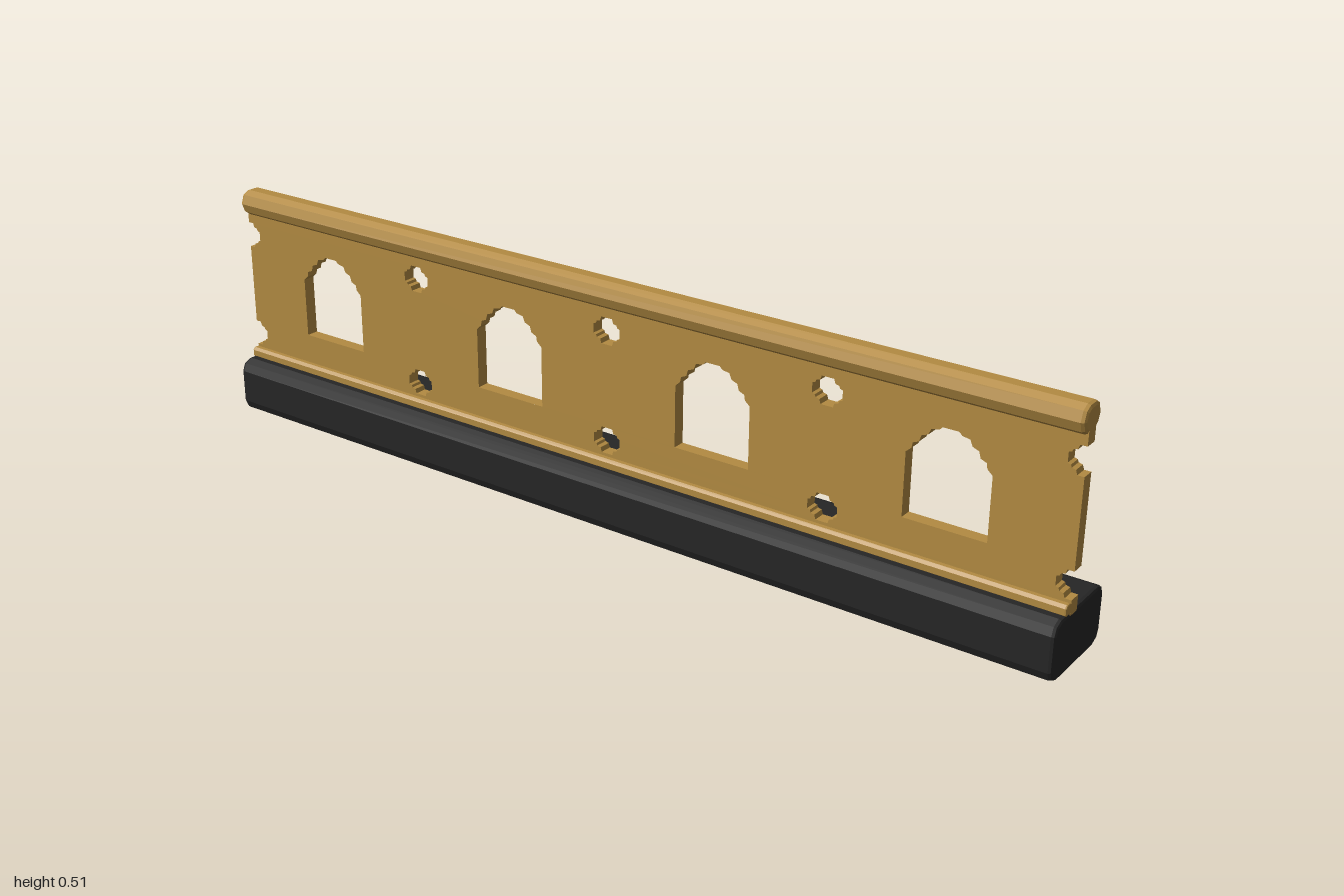
import * as THREE from 'three';

const gold = new THREE.MeshStandardMaterial({ color: 0xb38b42 });
gold.name = 'antique gold';
const black = new THREE.MeshStandardMaterial({ color: 0x262626 });
black.name = 'black';

const toShape = (pts) => new THREE.Shape(pts.map(([x, y]) => new THREE.Vector2(x, y)));

// Bar running the full length along x, from a [z, y] profile, with bevelled ends
function bar(name, profile, bevel, material) {
  const shape = toShape(profile.map(([z, y]) => [-z, y]));
  const geo = new THREE.ExtrudeGeometry(shape, {
    depth: 2 - 2 * bevel, bevelEnabled: true, bevelThickness: bevel,
    bevelSize: bevel, bevelOffset: -bevel, bevelSegments: 2,
  });
  geo.translate(0, 0, -(1 - bevel));
  geo.rotateY(Math.PI / 2);
  const mesh = new THREE.Mesh(geo, material);
  mesh.name = name;
  return mesh;
}

// Right half of a four-lobed opening, bottom to top
const lobes = [[0.013, -0.028], [0.016, -0.019], [0.024, -0.017], [0.026, -0.012], [0.032, -0.01]];
const halfLobes = [...lobes, ...lobes.map(([x, y]) => [x, -y]).reverse()];

// Right half of the stepped arch window, bottom to top
const halfArch = [
  [0.085, 0.205], [0.085, 0.335], [0.074, 0.345], [0.072, 0.356], [0.06, 0.361],
  [0.056, 0.374], [0.043, 0.379], [0.038, 0.391], [0.022, 0.394], [0.016, 0.4],
];

// Mirror a right half into a closed ring centred at (cx, cy)
const ring = (half, cx, cy) => [
  ...half.map(([x, y]) => [cx + x, cy + y]),
  ...half.map(([x, y]) => [cx - x, cy + y]).reverse(),
];

const lobeRows = [0.174, 0.408];

// Pierced panel whose ends carry half openings
function piercedPanel() {
  const edge = [[1, 0.115]];
  for (const cy of lobeRows) {
    edge.push([1, cy - 0.028]);
    for (const [x, y] of halfLobes) edge.push([1 - x, cy + y]);
    edge.push([1, cy + 0.028]);
  }
  edge.push([1, 0.475]);
  const shape = toShape(ring(edge, 0, 0));
  for (const x of [-0.75, -0.25, 0.25, 0.75]) shape.holes.push(toShape(ring(halfArch, x, 0)));
  for (const x of [-0.5, 0, 0.5]) {
    for (const y of lobeRows) shape.holes.push(toShape(ring(halfLobes, x, y)));
  }
  const geo = new THREE.ExtrudeGeometry(shape, { depth: 0.027, bevelEnabled: false });
  geo.translate(0, 0, 0.017);
  const mesh = new THREE.Mesh(geo, gold);
  mesh.name = 'piercedPanel';
  return mesh;
}

export function createModel() {
  const group = new THREE.Group();
  group.name = 'balustrade';

  // Chamfered plinth
  group.add(bar('plinth', [
    [-0.1, 0.025], [-0.093, 0.008], [-0.075, 0], [0.075, 0], [0.093, 0.008], [0.1, 0.025],
    [0.1, 0.097], [0.093, 0.114], [0.075, 0.122], [-0.075, 0.122], [-0.093, 0.114], [-0.1, 0.097],
  ], 0.007, black));

  group.add(piercedPanel());

  // Bead along the foot of the panel's front
  group.add(bar('footBead', [
    [0.02, 0.119], [0.058, 0.119], [0.062, 0.123], [0.062, 0.136],
    [0.057, 0.142], [0.048, 0.142], [0.04, 0.139], [0.02, 0.139],
  ], 0.003, gold));

  // Faceted handrail
  group.add(bar('handrail', [
    [0.018, 0.456], [0.044, 0.456], [0.058, 0.465], [0.065, 0.484], [0.058, 0.504],
    [0.043, 0.512], [0.019, 0.512], [0.004, 0.504], [-0.003, 0.484], [0.004, 0.465],
  ], 0.008, gold));

  return group;
}
